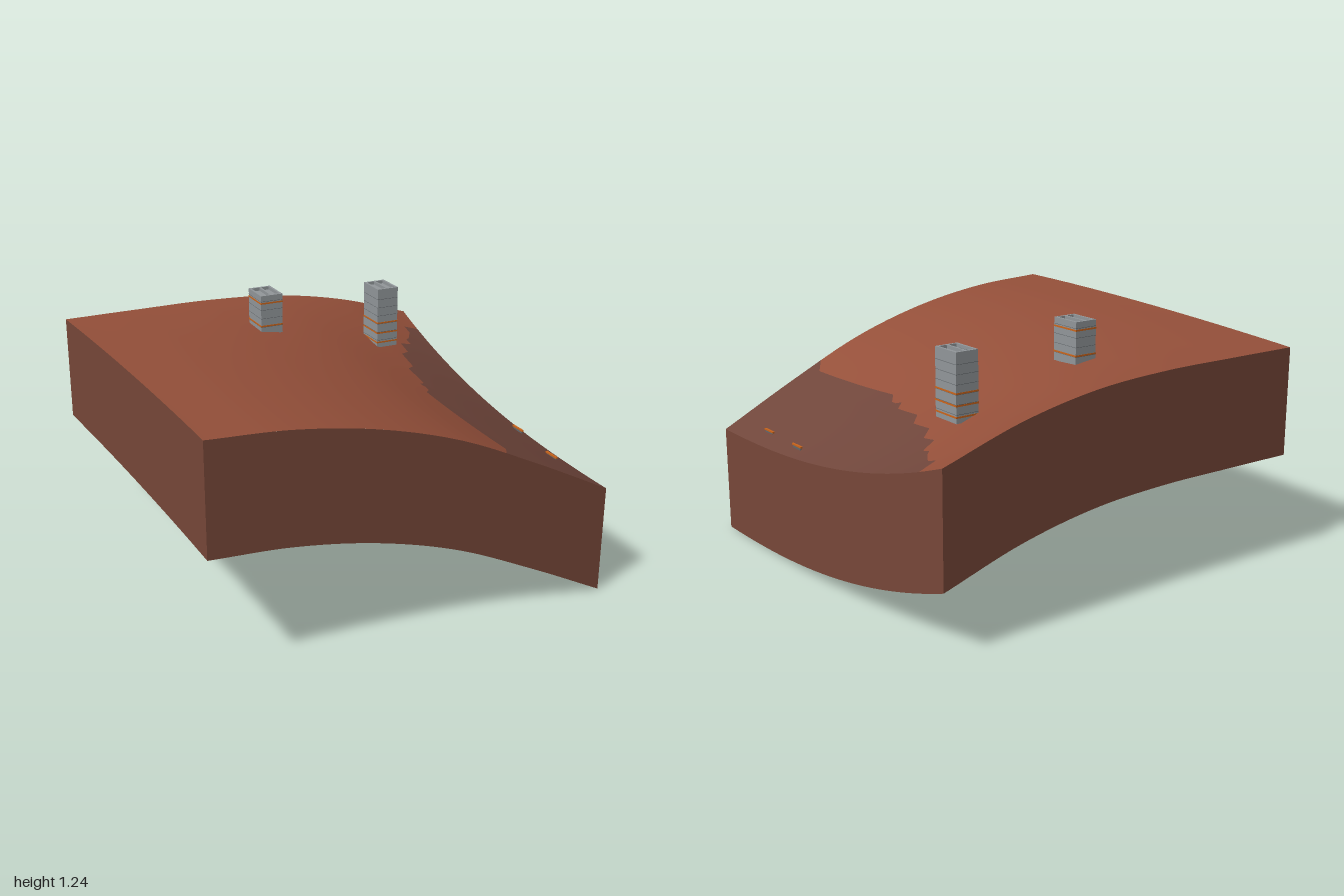
import * as THREE from 'three';

const paint = (name, color, side = THREE.FrontSide) => {
  const m = new THREE.MeshStandardMaterial({ color, side });
  m.name = name;
  return m;
};

// Smooth interpolation through evenly spaced heights over x = -1..1
function sample(list, x) {
  const n = list.length - 1;
  const t = (x + 1) / 2 * n;
  const i = Math.max(0, Math.min(n - 1, Math.floor(t)));
  const f = t - i, b = list[i], c = list[i + 1];
  const a = i > 0 ? list[i - 1] : 2 * b - c;
  const d = i < n - 1 ? list[i + 2] : 2 * c - b;
  return b + 0.5 * f * (c - a + f * (2 * a - 5 * b + 4 * c - d + f * (3 * (b - c) + d - a)));
}

// Ground height blends from the front profile to the back profile
const FRONT = [1.14, 1.115, 1.045, 0.922, 0.738, 0.535];
const BACK = [1.065, 1.067, 1.066, 1.04, 0.965, 0.84];
const THICK = 0.535;
function ground(x, z) {
  const front = sample(FRONT, x), back = sample(BACK, x);
  const w = Math.pow(Math.max(0, (1 - z) / 2), 1.8 + 0.3 * (x + 1));
  return front + (back - front) * w;
}

// Ragged border between upland and lowland, as [z, x]
const BORDER = [[-1, 0.999], [-0.83, 0.999], [-0.825, 0.91], [-0.76, 0.91], [-0.68, 0.86], [-0.65, 0.83],
  [-0.6, 0.83], [-0.57, 0.75], [-0.47, 0.74], [-0.41, 0.67], [-0.25, 0.65], [-0.19, 0.59], [0, 0.575],
  [0.04, 0.53], [0.07, 0.545], [0.11, 0.54], [0.17, 0.495], [0.9, 0.495], [1, 0.43]];
function border(z) {
  for (let i = 1; i < BORDER.length; i++) {
    const [z0, x0] = BORDER[i - 1], [z1, x1] = BORDER[i];
    if (z <= z1) return x0 + (x1 - x0) * (z - z0) / (z1 - z0);
  }
  return 0.43;
}

// Grid surface from f(u, v) -> [x, y, z], facing du x dv
function patch(nu, nv, f) {
  const pos = [], index = [];
  for (let i = 0; i <= nu; i++) for (let j = 0; j <= nv; j++) pos.push(...f(i / nu, j / nv));
  for (let i = 0; i < nu; i++) for (let j = 0; j < nv; j++) {
    const a = i * (nv + 1) + j, b = a + nv + 1;
    index.push(a, b, b + 1, a, b + 1, a + 1);
  }
  const g = new THREE.BufferGeometry();
  g.setAttribute('position', new THREE.Float32BufferAttribute(pos, 3));
  g.setIndex(index);
  g.computeVertexNormals();
  return g;
}

// Ground surface between two x limits, with normals from the slope
function groundPatch(nx, left, right) {
  const g = patch(200, nx, (u, v) => {
    const z = u * 2 - 1, x = THREE.MathUtils.lerp(left(z), right(z), v);
    return [x, ground(x, z), z];
  });
  const p = g.attributes.position, e = 0.01, n = new THREE.Vector3();
  for (let i = 0; i < p.count; i++) {
    const x = THREE.MathUtils.clamp(p.getX(i), -1 + e, 1 - e);
    const z = THREE.MathUtils.clamp(p.getZ(i), -1 + e, 1 - e);
    n.set(ground(x - e, z) - ground(x + e, z), 2 * e, ground(x, z - e) - ground(x, z + e)).normalize();
    g.attributes.normal.setXYZ(i, n.x, n.y, n.z);
  }
  return g;
}

export function createModel() {
  const model = new THREE.Group();
  const upland = paint('upland rust', 0x95503a, THREE.DoubleSide);
  const lowland = paint('lowland brown', 0x70463b, THREE.DoubleSide);
  const wallMat = paint('cut earth', 0x784839, THREE.DoubleSide);
  const grey = paint('concrete grey', 0x93989b);
  const dark = paint('dark grey', 0x62686c);
  const orange = paint('orange', 0xcc661c);

  const add = (parent, name, geometry, material, x = 0, y = 0, z = 0) => {
    const mesh = new THREE.Mesh(geometry, material);
    mesh.name = name;
    mesh.position.set(x, y, z);
    parent.add(mesh);
    return mesh;
  };
  const box = (parent, name, material, w, h, d, x, y, z) =>
    add(parent, name, new THREE.BoxGeometry(w, h, d), material, x, y, z);

  // Terrain block: top surface and four skirt walls, open underneath
  add(model, 'upland', groundPatch(60, () => -1, border), upland);
  add(model, 'lowland', groundPatch(24, border, () => 1), lowland);
  const corners = [[-1, 1], [1, 1], [1, -1], [-1, -1]];
  ['frontWall', 'leftWall', 'backWall', 'rightWall'].forEach((name, k) => {
    const [x0, z0] = corners[k], [x1, z1] = corners[(k + 1) % 4];
    add(model, name, patch(60, 1, (u, v) => {
      const x = x0 + (x1 - x0) * u, z = z0 + (z1 - z0) * u;
      return [x, ground(x, z) - THICK * (1 - v), z];
    }), wallMat);
  });

  // Towers: concrete body, floor seams, glowing bands and a sunken roof
  const W = 0.118, D = 0.16, RIM = 0.016;
  function tower(name, x, base, top, bands) {
    const t = new THREE.Group();
    t.name = name;
    t.position.set(x, 0, -0.5);
    const roof = top - RIM;
    box(t, 'body', grey, W, roof - base, D, 0, (roof + base) / 2, 0);
    for (let y = base + 0.04; y < roof - 0.01; y += 0.045)
      box(t, 'floorSeam', dark, W + 0.001, 0.002, D + 0.001, 0, y, 0);
    for (const y of bands) box(t, 'lightBand', orange, W + 0.003, 0.008, D + 0.003, 0, y, 0);
    const y = top - RIM / 2;
    for (const s of [-1, 1]) {
      box(t, 'parapetSide', grey, 0.012, RIM, D, s * (W - 0.012) / 2, y, 0);
      box(t, 'parapetEnd', grey, W - 0.024, RIM, 0.012, 0, y, s * (D - 0.012) / 2);
    }
    box(t, 'roofDivider', grey, 0.01, RIM, D - 0.024, 0, y, 0);
    model.add(t);
    return t;
  }
  tower('shortTower', -0.085, 1.03, 1.235, [1.195, 1.075]);
  const tall = tower('tallTower', 0.582, 0.865, 1.185, [1, 0.945, 0.893]);
  box(tall, 'roofSlot', dark, 0.006, 0.004, 0.08, -0.037, 1.171, -0.01);

  // Small barges lying on the lowland
  for (const [x, y, z] of [[0.945, 0.598, 0.325], [0.918, 0.588, 0.665]]) {
    const barge = new THREE.Group();
    barge.name = 'barge';
    barge.position.set(x, y, z);
    box(barge, 'bargeDeck', orange, 0.01, 0.008, 0.088, 0, 0.003, 0);
    box(barge, 'bargeHull', dark, 0.007, 0.012, 0.076, 0, -0.006, 0);
    model.add(barge);
  }
  return model;
}
